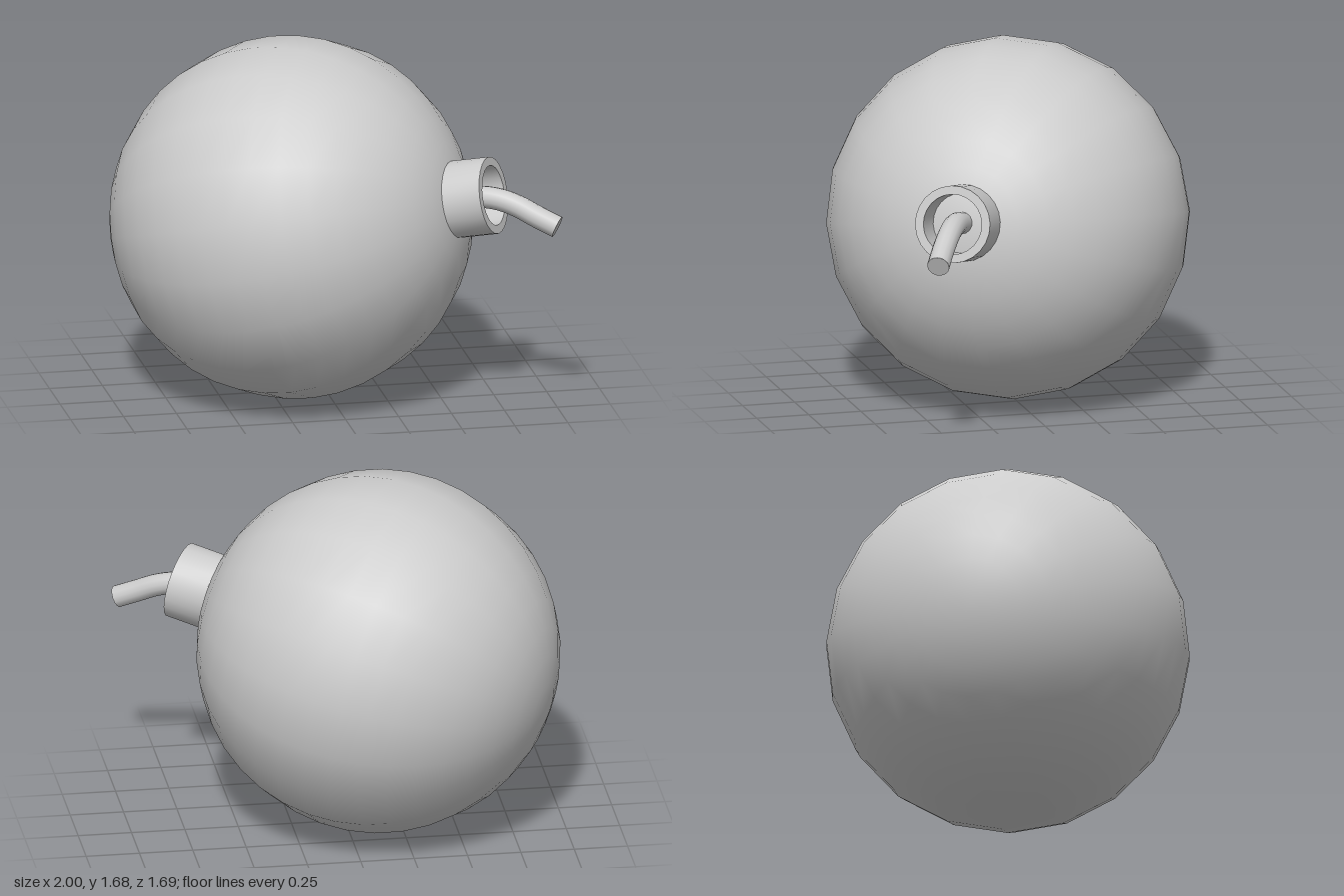
import * as THREE from 'three';
import { toCreasedNormals } from 'three/addons/utils/BufferGeometryUtils.js';

const RADIUS = 0.845;
const CENTER = new THREE.Vector3(-0.157, 0.845, 0);
const AXIS = new THREE.Vector3(0.846, 0.202, 0.494).normalize(); // direction of the neck

export function createModel() {
  const model = new THREE.Group();
  const material = new THREE.MeshStandardMaterial({ color: 0xcccccc });
  const add = (name, geometry, parent) => {
    const mesh = new THREE.Mesh(geometry, material);
    mesh.name = name;
    parent.add(mesh);
    return mesh;
  };

  // Tilted frame: its y axis runs through the neck
  const level = new THREE.Vector3(-AXIS.z, 0, AXIS.x).normalize();
  const xAxis = level.applyAxisAngle(AXIS, THREE.MathUtils.degToRad(5));
  const zAxis = new THREE.Vector3().crossVectors(xAxis, AXIS);
  const shell = new THREE.Group();
  shell.name = 'shell';
  shell.quaternion.setFromRotationMatrix(new THREE.Matrix4().makeBasis(xAxis, AXIS, zAxis));
  shell.position.copy(CENTER);
  model.add(shell);

  // Round body, poles on the neck axis
  add('body', new THREE.SphereGeometry(RADIUS, 20, 20), shell);

  // Hollow collar, its foot sunk into the body
  const profile = [[0.18, 0.825], [0.18, 1.012], [0.14, 1.012], [0.14, 0.82]]
    .map(([r, y]) => new THREE.Vector2(r, y));
  add('collar', toCreasedNormals(new THREE.LatheGeometry(profile, 24), 0.6), shell);

  // Drooping fuse
  const path = new THREE.CatmullRomCurve3([
    [0.53, 1.01, 0.405], [0.64, 1.035, 0.465], [0.72, 1.032, 0.508],
    [0.8, 1.008, 0.552], [0.88, 0.967, 0.597], [0.972, 0.923, 0.643],
  ].map((p) => new THREE.Vector3(...p)));
  add('fuse', new THREE.TubeGeometry(path, 16, 0.052, 14), model);

  // Flat end of the fuse
  const tip = add('fuseTip', new THREE.CircleGeometry(0.052, 14), model);
  const end = path.getPoint(1);
  tip.position.copy(end);
  tip.lookAt(end.clone().add(path.getTangent(1)));

  return model;
}
